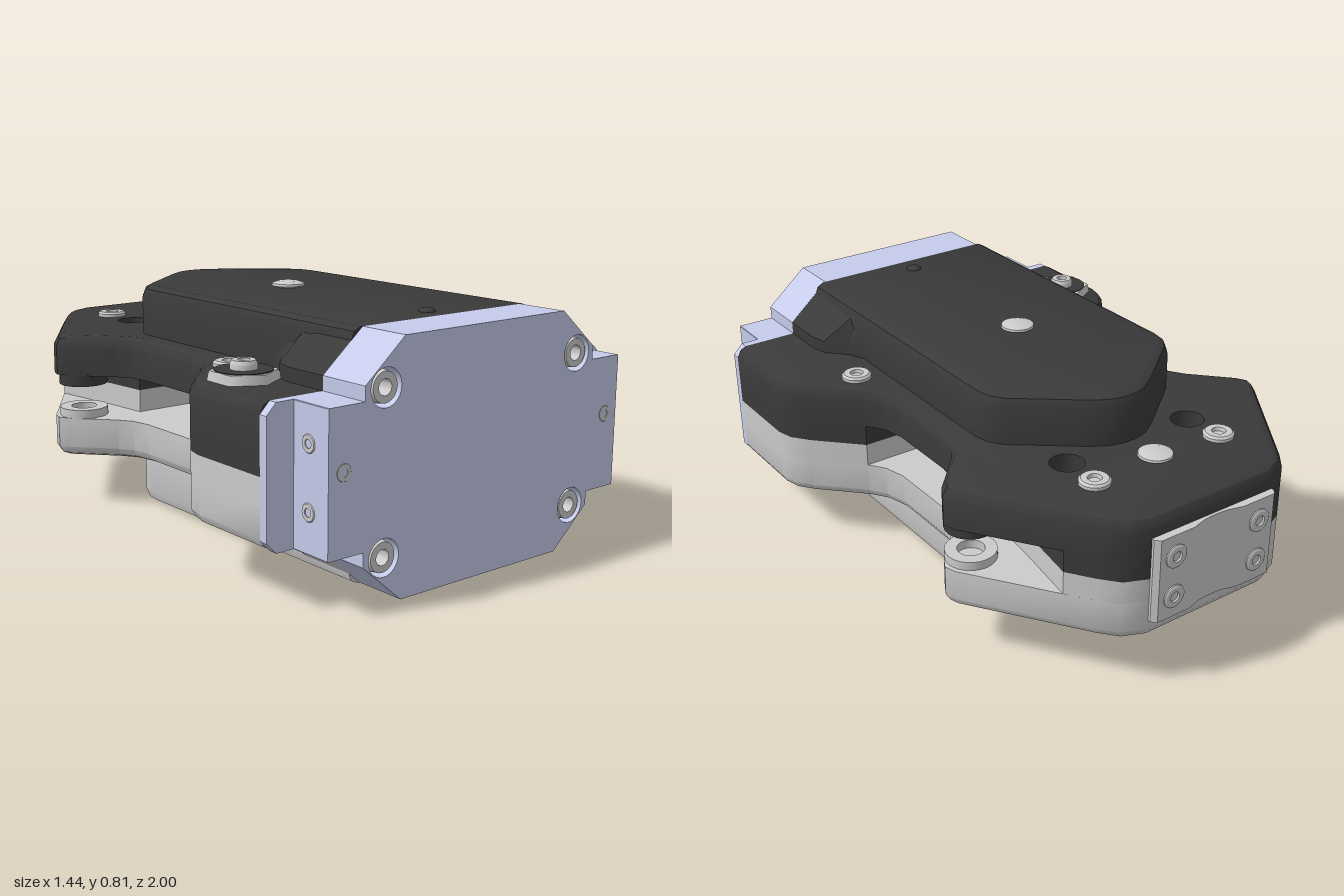
import * as THREE from 'three';
import { toCreasedNormals } from 'three/addons/utils/BufferGeometryUtils.js';

const GREY = new THREE.MeshStandardMaterial({ color: 0xcccccc });
const BLACK = new THREE.MeshStandardMaterial({ color: 0x3a3a3a });
const BLUE = new THREE.MeshStandardMaterial({ color: 0xc5cbea });

// Half outline of [x, z], front to back on +x, mirrored to a closed loop
const mirror = half => [...half, ...half.filter(p => p[0] > 0).reverse().map(([x, z]) => [-x, z])]
  .map(([x, z]) => new THREE.Vector2(x, -z));

const circle = (x, z, r, n = 24) => Array.from({ length: n }, (_, i) => {
  const a = -i / n * Math.PI * 2;
  return new THREE.Vector2(x + r * Math.cos(a), -z + r * Math.sin(a));
});

// Moves a loop inwards by d; points on the front plane stay on it
function inset(loop, d, maxX = 9) {
  const n = loop.length;
  return loop.map((p, i) => {
    const q = p.clone();
    if (d) {
      const a = p.clone().sub(loop[(i + n - 1) % n]).normalize();
      const b = loop[(i + 1) % n].clone().sub(p).normalize();
      const k = d / (1 + a.dot(b));
      q.x -= (a.y + b.y) * k;
      if (p.y > -0.815) q.y += (a.x + b.x) * k;
    }
    q.x = THREE.MathUtils.clamp(q.x, -maxX, maxX);
    return q;
  });
}

// Upright slab through rings of [y, inset, maxX], with optional through holes
function slab(outline, rings, holes = []) {
  const pos = [];
  const put = (p, y) => pos.push(p.x, y, -p.y);
  const loops = rings.map(([, d, m]) => [inset(outline, d, m), ...holes]);
  for (let r = 0; r < rings.length - 1; r++) {
    const y0 = rings[r][0], y1 = rings[r + 1][0];
    loops[r].forEach((lo, k) => {
      const hi = loops[r + 1][k];
      lo.forEach((p, i) => {
        const j = (i + 1) % lo.length;
        put(p, y0); put(lo[j], y0); put(hi[j], y1);
        put(p, y0); put(hi[j], y1); put(hi[i], y1);
      });
    });
  }
  [0, rings.length - 1].forEach((r, top) => {
    const all = loops[r].flat();
    for (const [a, b, c] of THREE.ShapeUtils.triangulateShape(loops[r][0].slice(), holes.map(h => h.slice())))
      (top ? [a, b, c] : [a, c, b]).forEach(i => put(all[i], rings[r][0]));
  });
  const g = new THREE.BufferGeometry();
  g.setAttribute('position', new THREE.Float32BufferAttribute(pos, 3));
  return toCreasedNormals(g, 0.55);
}

// Round head with a socket, seat at y = 0
function headGeometry(r, h) {
  const pts = [[r, 0], [r, h * 0.6], [r * 0.85, h], [r * 0.45, h], [r * 0.4, h * 0.3], [0, h * 0.3]];
  return toCreasedNormals(new THREE.LatheGeometry(pts.map(p => new THREE.Vector2(...p)), 24), 0.5);
}

export function createModel() {
  const model = new THREE.Group();
  const add = (name, geometry, material, x = 0, y = 0, z = 0, rx = 0, rz = 0) => {
    const m = new THREE.Mesh(geometry, material);
    m.name = name;
    m.position.set(x, y, z);
    m.rotation.set(rx, 0, rz);
    model.add(m);
    return m;
  };

  // Body shells with the waisted outline
  const frontHalf = [[0.72, 0.82], [0.72, 0.52], [0.705, 0.46], [0.66, 0.4], [0.515, 0.25]];
  const body = mirror([...frontHalf, [0.475, 0.19], [0.455, 0.11], [0.455, -0.16], [0.468, -0.23], [0.5, -0.28],
    [0.62, -0.41], [0.642, -0.45], [0.63, -0.49], [0.37, -0.87], [0.32, -0.93], [0.24, -0.965]]);
  const holes = [circle(0.25, -0.56, 0.057), circle(-0.25, -0.56, 0.057)];
  add('lowerBody', slab(body, [[0.18, 0.035], [0.19, 0.015], [0.215, 0], [0.32, 0]], holes), GREY);
  add('upperBody', slab(body, [[0.475, 0], [0.58, 0], [0.605, 0.015], [0.615, 0.035]], holes), BLACK);

  // Middle layer: front block, open side window, rear block with side pockets
  const front = mirror(frontHalf);
  const rear = mirror([[0.37, -0.34], [0.39, -0.52], [0.43, -0.782], [0.37, -0.87], [0.32, -0.93], [0.24, -0.965]]);
  for (const [part, y0, y1, mat] of [['lower', 0.32, 0.4, GREY], ['upper', 0.4, 0.475, BLACK]]) {
    add(part + 'FrontBlock', slab(front, [[y0, 0], [y1, 0]]), mat);
    add(part + 'RearBlock', slab(rear, [[y0, 0], [y1, 0]], holes), mat);
  }

  // Pivot lugs in the side pockets
  for (const s of [-1, 1]) {
    const ring = circle(s * 0.54, -0.445, 0.085).reverse(), bore = [circle(s * 0.54, -0.445, 0.045)];
    add('lowerLug', slab(ring, [[0.315, 0], [0.35, 0]], bore), GREY);
    add('upperLug', slab(ring, [[0.435, 0], [0.48, 0]], bore), BLACK);
  }

  // Raised covers above and below, each with a chamfered flare at the front
  const cover = mirror([[0.385, 0.82], [0.385, -0.24], [0.375, -0.3], [0.34, -0.35], [0.14, -0.51], [0.08, -0.55], [0.03, -0.565]]);
  const flare = mirror([[0.49, 0.82], [0.49, 0.66], [0.475, 0.6], [0.41, 0.53], [0.385, 0.47], [0.33, 0.46]]);
  add('topCover', slab(cover, [[0.61, 0], [0.745, 0], [0.775, 0.012], [0.787, 0.035]]), BLACK);
  add('topCoverFlare', slab(flare, [[0.61, 0], [0.66, 0], [0.786, 0, 0.34]]), BLACK);
  add('bottomCover', slab(cover, [[0, 0.035], [0.012, 0.012], [0.042, 0], [0.185, 0]]), GREY);
  add('bottomCoverFlare', slab(flare, [[0.001, 0, 0.34], [0.13, 0], [0.185, 0]]), GREY);

  // Front plate: wide flange behind a narrower block with counterbored holes
  const plate = (wing, corner) => mirror([[0.34, 0], [0.49, -0.13], [0.49, -0.175], [wing - corner, -0.175],
    [wing, -0.175 - corner], [wing, -0.615 + corner], [wing - corner, -0.615], [0.49, -0.615], [0.49, -0.66], [0.34, -0.787]]);
  const corners = [[-0.41, 0.645], [0.41, 0.645], [-0.41, 0.143], [0.41, 0.143]];
  add('plateFlange', slab(plate(0.72, 0.035), [[0.82, 0], [0.85, 0]]).rotateX(Math.PI / 2), BLUE);
  add('frontPlate', slab(plate(0.622, 0.002), [[0.85, 0], [1, 0]],
    corners.map(([x, y]) => circle(x, -y, 0.059))).rotateX(Math.PI / 2), BLUE);
  const big = headGeometry(0.055, 0.145), grub = headGeometry(0.03, 0.012), cap = headGeometry(0.052, 0.018);
  for (const [x, y] of corners) add('plateScrew', big, GREY, x, y, 0.85, Math.PI / 2);
  for (const s of [-1, 1]) {
    add('frontGrubScrew', grub, GREY, s * 0.565, 0.425, 0.989, Math.PI / 2);
    for (const y of [0.3, 0.5]) add('sideGrubScrew', grub, GREY, s * 0.613, y, 0.915, 0, -s * Math.PI / 2);
    add('rearTopScrew', cap, GREY, s * 0.255, 0.615, -0.705);
    add('sideTopScrew', cap, GREY, s * 0.48, 0.615, 0.355);
  }

  // Domed buttons and small pin on the upper faces
  const dome = toCreasedNormals(new THREE.LatheGeometry([[0.035, 0], [0.058, 0.008], [0.056, 0.016], [0.035, 0.023], [0, 0.024]]
    .map(p => new THREE.Vector2(...p)), 24), 0.6);
  add('rearButton', dome, GREY, 0, 0.614, -0.69);
  add('coverButton', dome, GREY, 0, 0.786, 0.055);
  add('pin', new THREE.SphereGeometry(0.028, 16, 8, 0, Math.PI * 2, 0, Math.PI / 2).scale(1, 0.5, 1), BLACK, 0, 0.786, 0.74);

  // Hexagonal fitting on the right shoulder
  add('hexNut', new THREE.CylinderGeometry(0.105, 0.112, 0.03, 6), GREY, -0.57, 0.63, 0.55);
  add('nutInsert', new THREE.CylinderGeometry(0.09, 0.09, 0.004, 32), BLACK, -0.57, 0.646, 0.55);
  add('nutScrew', headGeometry(0.043, 0.03), GREY, -0.57, 0.646, 0.55);

  // Rear plate with a shallow central groove and four screws
  const rearPlate = mirror([[0.24, -0.95], [0.245, -0.975], [0.23, -0.992], [0.1, -0.992], [0.05, -0.978], [0.02, -0.975]]);
  add('rearPlate', slab(rearPlate, [[0.25, 0], [0.545, 0]]), GREY);
  const small = headGeometry(0.04, 0.009);
  for (const x of [-0.17, 0.17]) for (const y of [0.325, 0.47])
    add('rearPlateScrew', small, GREY, x, y, -0.991, -Math.PI / 2);

  return model;
}
